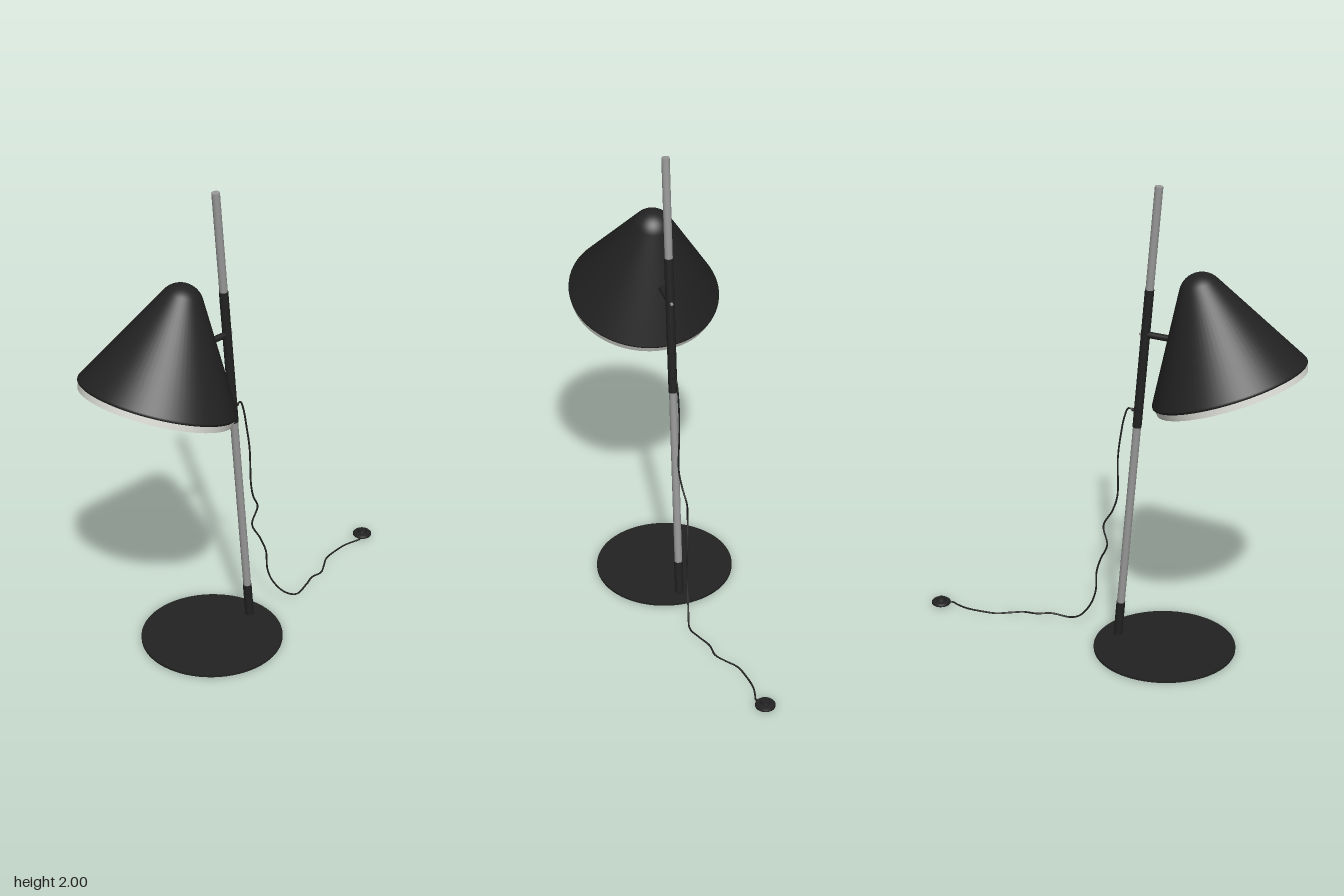
import * as THREE from 'three';

const paint = (color) => new THREE.MeshStandardMaterial({ color });
const black = paint(0x222222);
const steel = paint(0x999999);
const white = paint(0xe6e6e0);
const grey = paint(0xcccccc);
const shadeBlack = paint(0x222222);
shadeBlack.side = THREE.DoubleSide;

const V = (x, y, z) => new THREE.Vector3(x, y, z);
const poleAt = (y) => V(0, y, 0.03 + 0.0875 * y);

function add(parent, name, geometry, material) {
  const mesh = new THREE.Mesh(geometry, material);
  mesh.name = name;
  parent.add(mesh);
  return mesh;
}

// Cylinder between two points
function rod(parent, name, a, b, radius, material) {
  const dir = b.clone().sub(a);
  const mesh = add(parent, name, new THREE.CylinderGeometry(radius, radius, dir.length(), 32), material);
  mesh.position.copy(a).lerp(b, 0.5);
  mesh.quaternion.setFromUnitVectors(V(0, 1, 0), dir.normalize());
  return mesh;
}

const lathe = (pts) => new THREE.LatheGeometry(pts.map(([r, y]) => new THREE.Vector2(r, y)), 72);

export function createModel() {
  const lamp = new THREE.Group();
  lamp.name = 'lamp';

  // Round floor plate
  const base = add(lamp, 'base', new THREE.CylinderGeometry(0.297, 0.297, 0.01, 72), black);
  base.position.set(0, 0.005, 0.25);

  // Leaning pole with its foot socket and the sliding sleeve
  rod(lamp, 'pole', poleAt(0.005), poleAt(1.999), 0.0165, steel);
  rod(lamp, 'footSocket', poleAt(0.004), poleAt(0.165), 0.0185, black);
  rod(lamp, 'sleeve', poleAt(0.98), poleAt(1.575), 0.0185, black);

  // Horizontal arm with its fixing screw behind the sleeve
  rod(lamp, 'arm', V(0, 1.385, 0.15), V(0, 1.385, 0.29), 0.013, black);
  rod(lamp, 'armScrew', V(0, 1.385, 0.126), V(0, 1.385, 0.15), 0.006, steel);

  // Tilted shade: a cone running tangentially into a round tip
  const shade = new THREE.Group();
  shade.name = 'shade';
  shade.position.set(0, 1.228, 0.525);
  shade.rotation.x = -THREE.MathUtils.degToRad(20);
  lamp.add(shade);

  const tipY = 0.385, tipR = 0.09, rimR = 0.317, rimY = 0.022;
  const dist = Math.hypot(rimR, tipY - rimY);
  const start = Math.atan2(rimY - tipY, rimR) + Math.acos(tipR / dist);
  const profile = [[rimR - 0.006, 0.008], [rimR, 0.014], [rimR, rimY]];
  for (let i = 0; i <= 12; i++) {
    const a = start + (Math.PI / 2 - start) * i / 12;
    profile.push([Math.max(0, tipR * Math.cos(a)), tipY + tipR * Math.sin(a)]);
  }
  add(shade, 'shadeCone', lathe(profile), shadeBlack);

  // Pale rim band and the flat diffuser closing the shade
  const rim = add(shade, 'rim', new THREE.CylinderGeometry(0.313, 0.308, 0.03, 72, 1, true), white);
  rim.position.y = -0.002;
  const diffuser = add(shade, 'diffuser', new THREE.CircleGeometry(0.308, 72), grey);
  diffuser.rotation.x = Math.PI / 2;
  diffuser.position.y = -0.017;

  // Cable outlet and the loose cable
  rod(lamp, 'cableOutlet', V(0, 1.05, 0.115), V(0, 1.052, 0.094), 0.007, black);
  const path = [
    [0, 1.052, 0.1], [-0.002, 1.055, 0.078], [-0.003, 1.02, 0.062], [-0.003, 0.92, 0.042],
    [0, 0.82, 0.029], [0.004, 0.65, 0.025], [-0.003, 0.58, 0.005], [-0.014, 0.51, -0.03],
    [-0.024, 0.43, -0.008], [-0.013, 0.35, -0.045], [-0.003, 0.28, -0.069], [0, 0.19, -0.075],
    [0.005, 0.12, -0.1], [0.02, 0.04, -0.16], [0.034, 0.008, -0.22], [0.017, 0.015, -0.3],
    [-0.009, 0.011, -0.36], [-0.013, 0.006, -0.42], [-0.04, 0.005, -0.465], [-0.077, 0.005, -0.52],
    [-0.09, 0.005, -0.58], [-0.096, 0.005, -0.66], [-0.087, 0.006, -0.71], [-0.08, 0.008, -0.74],
    [-0.1, 0.01, -0.775],
  ];
  const curve = new THREE.CatmullRomCurve3(path.map((p) => V(...p)));
  add(lamp, 'cable', new THREE.TubeGeometry(curve, 240, 0.0038, 8), black);

  // Round foot switch with a raised button
  const pedal = new THREE.Group();
  pedal.name = 'footSwitch';
  pedal.position.set(-0.105, 0, -0.782);
  lamp.add(pedal);
  add(pedal, 'switchBody', lathe([[0, 0.002], [0.036, 0.002], [0.041, 0.006], [0.041, 0.014], [0.035, 0.02], [0, 0.02]]), black);
  const button = add(pedal, 'switchButton', new THREE.CylinderGeometry(0.017, 0.02, 0.012, 32), black);
  button.position.y = 0.025;

  return lamp;
}
